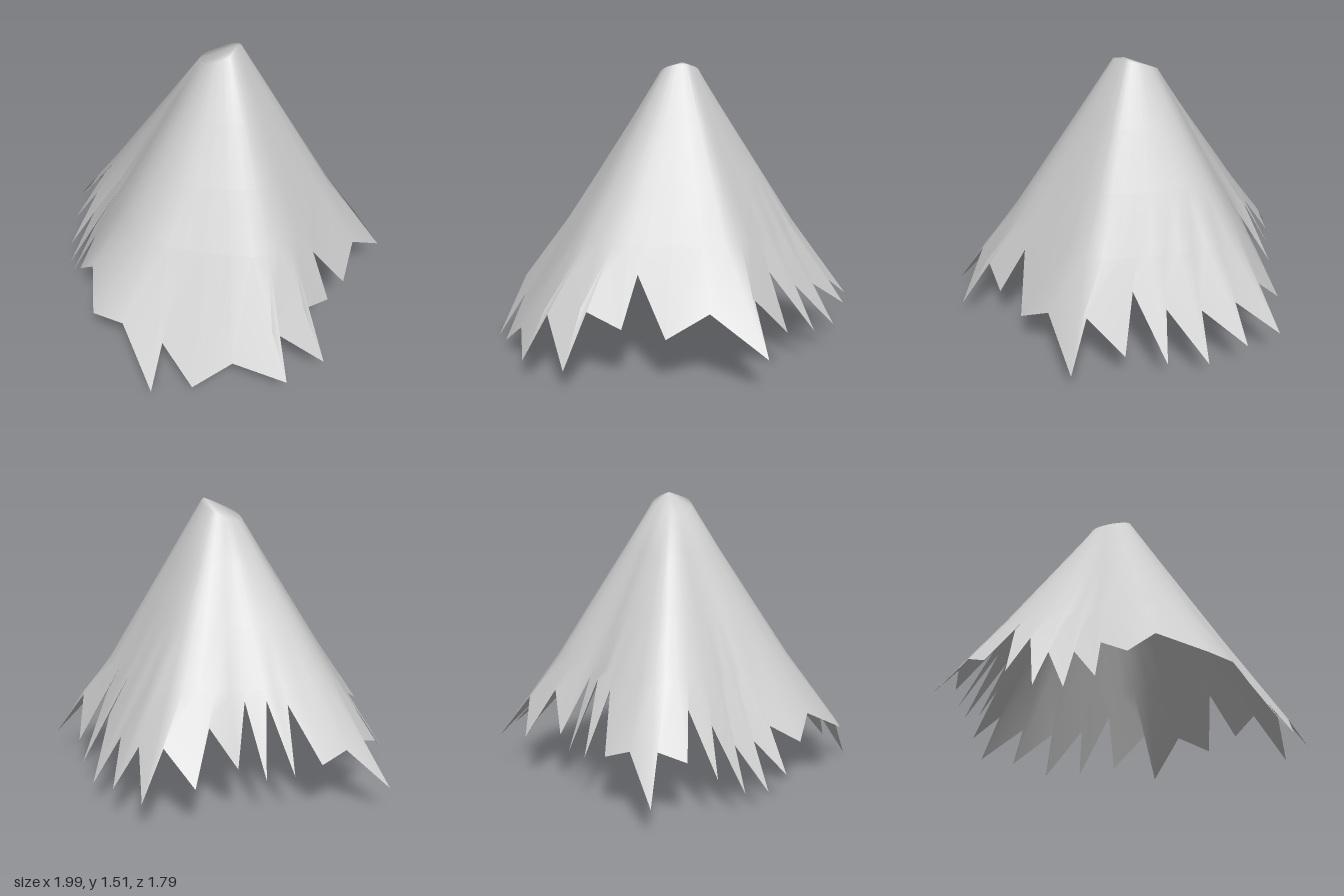
import * as THREE from 'three';

// Ragged hem, clockwise from the back left corner: x, y, z of each tip and notch
const HEM = [
  [-.49, .20, -.86], [-.27, .38, -.74], [-.285, .205, -.90], [-.09, .37, -.74],
  [-.075, .15, -.90], [.10, .42, -.70], [.13, .17, -.855], [.24, .50, -.63],
  [.325, .21, -.775], [.495, .42, -.65], [.605, .17, -.775], [.635, .36, -.49],
  [.74, .24, -.31], [.64, .575, -.08], [.805, .28, -.11], [.825, .36, .10],
  [.99, .105, .10], [.81, .33, .31], [.965, .11, .345], [.74, .18, .51],
  [.635, .045, .69], [.385, .255, .72], [.49, 0, .845], [.245, .29, .825],
  [.08, .285, .895], [-.11, .40, .76], [-.25, .29, .76], [-.335, .40, .58],
  [-.39, .16, .73], [-.43, .36, .535], [-.515, .11, .675], [-.53, .385, .46],
  [-.63, .13, .595], [-.59, .45, .40], [-.725, .22, .49], [-.64, .52, .305],
  [-.795, .31, .365], [-.84, .36, .235], [-1, .15, .27], [-.855, .35, .10],
  [-.835, .30, -.04], [-.64, .57, -.105], [-.79, .26, -.175], [-.59, .60, -.20],
  [-.725, .25, -.30], [-.52, .59, -.28], [-.63, .30, -.40], [-.515, .50, -.49],
  [-.60, .25, -.63], [-.435, .42, -.70],
].map((p) => new THREE.Vector3(...p));

// Small tilted ring just below the peak
function crownPoint(p) {
  const a = Math.atan2(p.z + 0.03, p.x);
  const x = 0.005 + 0.115 * Math.cos(a);
  const z = -0.04 + 0.105 * Math.sin(a);
  return new THREE.Vector3(x, 1.44 + 0.35 * x - 0.25 * z, z);
}

// Average each point with its two neighbours so the folds stay soft
function soften(ring) {
  const n = ring.length;
  return ring.map((p, i) => p.clone().multiplyScalar(2)
    .add(ring[(i + 1) % n]).add(ring[(i + n - 1) % n]).multiplyScalar(0.25));
}

function ragGeometry() {
  const n = HEM.length;
  const crown = HEM.map(crownPoint);
  const rings = [soften(crown)];
  // Rings at set heights on the straight lines from crown to hem
  for (const y of [1.2, 0.92, 0.64]) {
    const ring = HEM.map((p, i) => {
      const c = crown[i];
      return c.clone().lerp(p, (c.y - y) / (c.y - p.y));
    });
    rings.push(soften(soften(ring)));
  }
  rings.push(HEM);

  const points = [new THREE.Vector3(0.085, 1.51, -0.095), ...rings.flat()];
  const index = [];
  const at = (r, i) => 1 + r * n + (i % n);
  for (let i = 0; i < n; i++) {
    index.push(0, at(0, i + 1), at(0, i));
    for (let r = 0; r < rings.length - 1; r++) {
      const a = at(r, i), b = at(r, i + 1), c = at(r + 1, i), d = at(r + 1, i + 1);
      index.push(a, d, c, a, b, d);
    }
  }
  const g = new THREE.BufferGeometry().setFromPoints(points);
  g.setIndex(index);
  g.computeVertexNormals();
  return g;
}

export function createModel() {
  const group = new THREE.Group();
  group.name = 'raggedCone';
  const cloth = new THREE.MeshStandardMaterial({ color: 0xcccccc, side: THREE.DoubleSide });
  cloth.name = 'pale grey cloth';
  const mesh = new THREE.Mesh(ragGeometry(), cloth);
  mesh.name = 'raggedCloth';
  group.add(mesh);
  return group;
}
